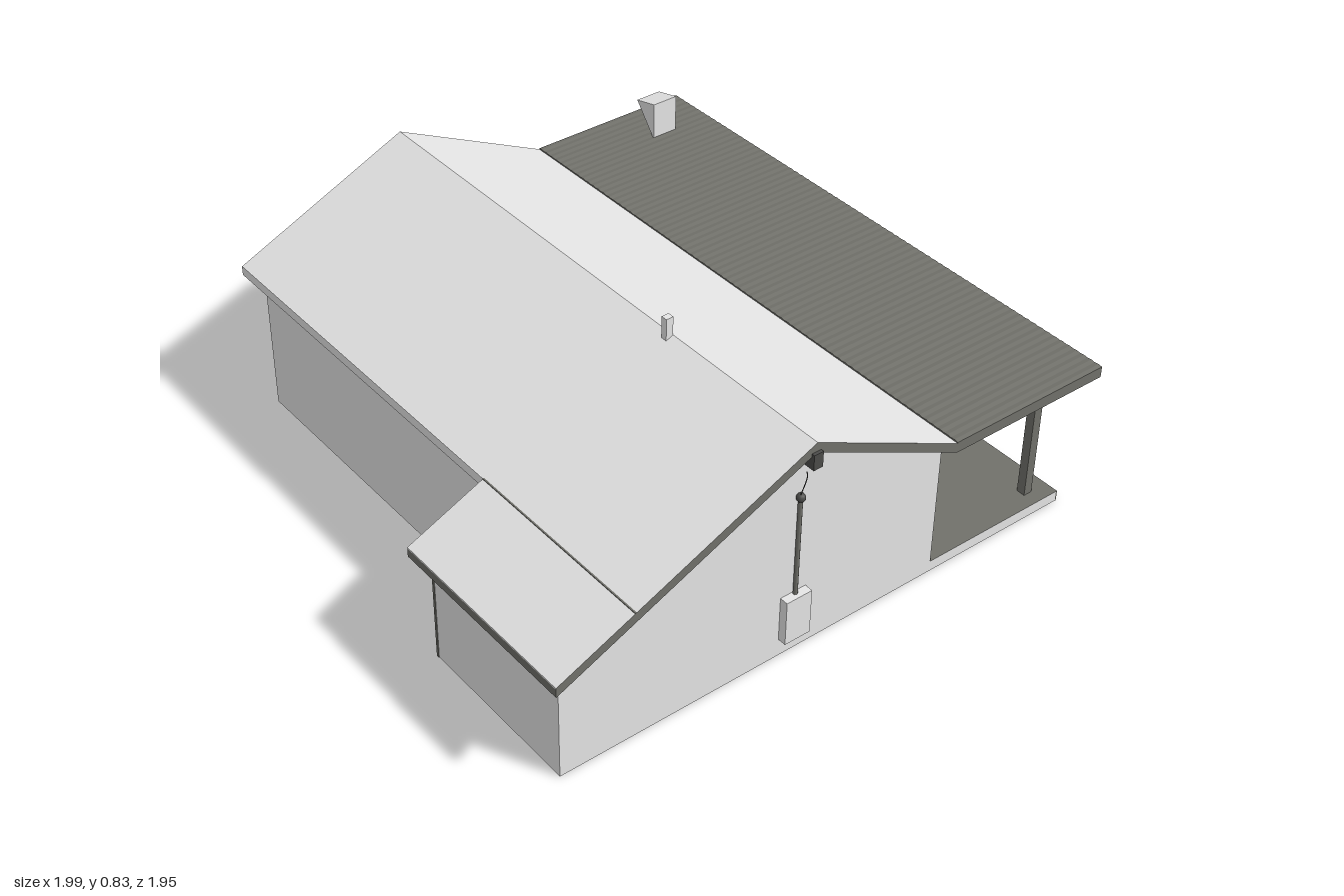
import * as THREE from 'three';

export function createModel() {
  const house = new THREE.Group();
  house.name = 'house';
  const mat = (name, color) => {
    const m = new THREE.MeshStandardMaterial({ color });
    m.name = name;
    return m;
  };
  const light = mat('light render', 0xe6e6e6);
  const dark = mat('dark cladding', 0x71716b);
  const dim = mat('dim glass', 0x8c8c86);
  const under = mat('floor underside grey', 0x747474);
  const charcoal = mat('charcoal fittings', 0x4c4c4a);

  const add = (name, geometry, material) => {
    const mesh = new THREE.Mesh(geometry, material);
    mesh.name = name;
    house.add(mesh);
    return mesh;
  };
  // Box given by its lower and upper limits on each axis
  const box = (name, m, x0, x1, y0, y1, z0, z1) =>
    add(name, new THREE.BoxGeometry(x1 - x0, y1 - y0, z1 - z0)
      .translate((x0 + x1) / 2, (y0 + y1) / 2, (z0 + z1) / 2), m);
  const shapeOf = (pts) => new THREE.Shape(pts.map(([a, b]) => new THREE.Vector2(a, b)));
  // Side profile of [z, y] points, extruded along x
  const prism = (name, m, pts, x0, x1) =>
    add(name, new THREE.ExtrudeGeometry(shapeOf(pts), { depth: x1 - x0, bevelEnabled: false })
      .rotateY(-Math.PI / 2).translate(x1, 0, 0), m);

  // Roof line: height of the roof top at depth z
  const ridgeZ = 0.13, ridgeY = 0.767;
  const roofY = (z) => z > ridgeZ ? ridgeY - 0.444 * (z - ridgeZ) : ridgeY - 0.49 * (ridgeZ - z);
  const roofX0 = -0.988, roofX1 = 0.98;
  const base = 0.03;

  // Skirt and recessed floor: plan outline, inset by w
  const plan = (w) => shapeOf([
    [-0.93 + w, 0.92 - w], [0.922 - w, 0.92 - w], [0.922 - w, -0.927 + w],
    [0.352 + w, -0.927 + w], [0.352 + w, -0.68 + w], [-0.93 + w, -0.68 + w],
  ]);
  const slab = (name, shape, depth, y, m) =>
    add(name, new THREE.ExtrudeGeometry(shape, { depth, bevelEnabled: false })
      .rotateX(-Math.PI / 2).translate(0, y, 0), m);
  const ring = plan(0);
  ring.holes.push(plan(0.012));
  slab('baseSkirt', ring, base, 0, light);
  slab('floorUnderside', plan(0.011), 0.006, base - 0.007, under);
  box('backPlinth', dark, -0.93, 0.922, 0, 0.036, -0.924, -0.92);

  // Walls
  prism('mainWalls', light, [
    [0.68, base], [0.68, roofY(0.68) - 0.03], [ridgeZ, ridgeY - 0.03],
    [-0.4, roofY(-0.4) - 0.03], [-0.4, base],
  ], -0.93, 0.922);
  prism('frontExtension', light, [
    [0.927, base], [0.927, roofY(0.927) - 0.03], [0.68, roofY(0.68) - 0.03], [0.68, base],
  ], 0.352, 0.922);
  box('extensionTrim', dark, 0.347, 0.356, 0, 0.37, 0.68, 0.929);
  box('backRoom', [dark, light, dark, light, light, dark], -0.93, 0.355, base, 0.478, -0.92, -0.4);

  // Porch
  box('porchFloor', [light, light, dark, light, light, dark], 0.355, 0.922, base, 0.036, -0.92, -0.4);
  box('porchWall', dark, 0.355, 0.92, 0.036, 0.474, -0.403, -0.399);
  box('porchCeiling', light, 0.355, 0.922, 0.47, 0.476, -0.92, -0.403);
  box('porchPost', dark, 0.847, 0.877, 0.036, 0.472, -0.86, -0.83);
  box('porchBeam', dark, 0.355, 0.877, 0.45, 0.472, -0.86, -0.83);

  // Pitched roofs: dark deck under a light sheet
  const slope = (name, z0, z1, x0, x1) => {
    const band = (top, bottom) => [
      [z0, roofY(z0) - top], [z1, roofY(z1) - top], [z1, roofY(z1) - bottom], [z0, roofY(z0) - bottom],
    ];
    prism(name + 'Deck', dark, band(0.004, 0.032), x0, x1);
    prism(name + 'Sheet', [dark, light], band(0, 0.004), x0, x1);
  };
  slope('frontRoof', ridgeZ, 0.72, roofX0, roofX1);
  slope('extensionRoof', 0.72, 0.974, 0.305, roofX1);
  slope('backRoof', -0.4, ridgeZ, roofX0, roofX1);
  box('frontFascia', light, roofX0, 0.305, roofY(0.72) - 0.032, roofY(0.72), 0.718, 0.723);
  box('roofJoint', dark, 0.305, roofX1, roofY(0.72) - 0.006, roofY(0.72) + 0.0005, 0.717, 0.724);

  // Flat back roof with shallow ribs on top
  const ribs = 70, step = (roofX1 - roofX0) / ribs;
  const profile = [[roofX0, 0.475]];
  for (let i = 0; i < ribs; i++) {
    const x = roofX0 + i * step;
    profile.push([x, 0.511], [x + step / 2, 0.513]);
  }
  profile.push([roofX1, 0.511], [roofX1, 0.475]);
  add('ribbedBackRoof', new THREE.ExtrudeGeometry(shapeOf(profile), { depth: 0.574, bevelEnabled: false })
    .translate(0, 0, -0.974), dark);

  // Wedge vent on the flat roof and small flue on the ridge
  add('roofVent', new THREE.ExtrudeGeometry(
    shapeOf([[-0.81, 0.505], [-0.81, 0.637], [-0.9, 0.615]]), { depth: 0.092, bevelEnabled: false })
    .translate(0, 0, -0.832), light);
  box('ridgeFlue', light, 0.36, 0.381, 0.74, 0.828, 0.13, 0.154);

  // Ridge beam ends under each gable
  for (const [x0, x1] of [[-1, -0.92], [0.91, 0.99]])
    box('ridgeBeamEnd', charcoal, x0, x1, 0.687, 0.738, 0.116, 0.148);

  // Windows: glass plate with four frame bars, on walls facing back
  const windowAt = (glass, x0, x1, y0, y1, z) => {
    const f = 0.016, out = z - 0.007;
    box('windowGlass', glass, x0 + f, x1 - f, y0 + f, y1 - f, z - 0.002, z);
    for (const [a, b] of [[x0, x0 + f], [x1 - f, x1]]) box('windowFrame', dark, a, b, y0, y1, out, z);
    for (const [a, b] of [[y0, y0 + f], [y1 - f, y1]]) box('windowFrame', dark, x0 + f, x1 - f, a, b, out, z);
  };
  windowAt(light, -0.18, 0.17, 0.16, 0.39, -0.92);
  windowAt(dim, -0.73, -0.38, 0.16, 0.39, -0.92);
  windowAt(light, 0.46, 0.64, 0.245, 0.39, -0.403);

  // Electricity box, conduit and supply wire on the gable
  box('meterBox', light, 0.922, 0.95, 0.06, 0.212, 0.088, 0.178);
  add('conduit', new THREE.CylinderGeometry(0.007, 0.007, 0.345, 10).translate(0.93, 0.383, 0.132), dark);
  add('conduitCap', new THREE.SphereGeometry(0.014, 10, 8).translate(0.932, 0.553, 0.133), charcoal);
  const wire = new THREE.CatmullRomCurve3([
    new THREE.Vector3(0.99, 0.7, 0.172),
    new THREE.Vector3(0.975, 0.66, 0.155),
    new THREE.Vector3(0.932, 0.56, 0.135),
  ]);
  add('supplyWire', new THREE.TubeGeometry(wire, 10, 0.0015, 5), charcoal);

  return house;
}
